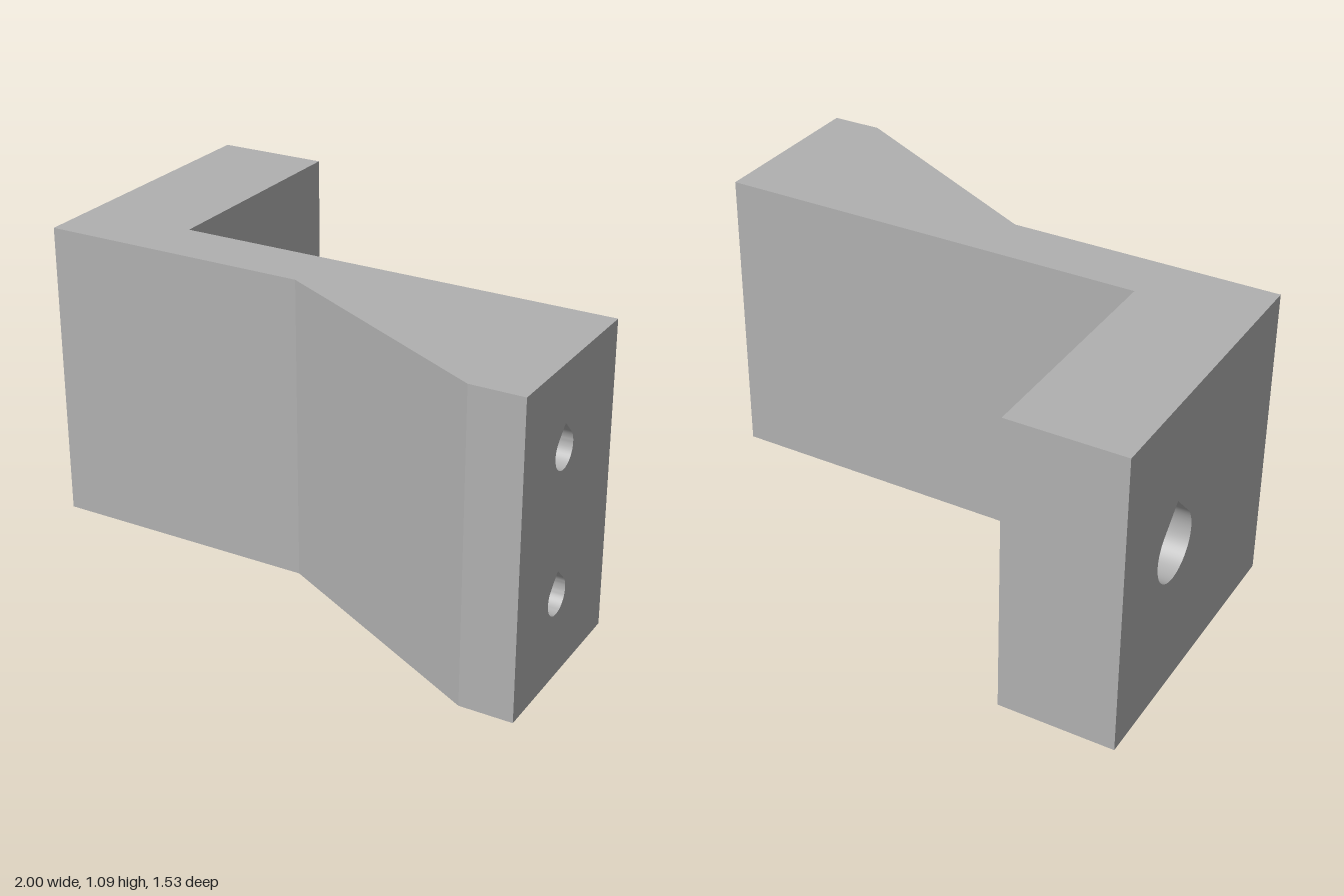
import * as THREE from 'three';
import { toCreasedNormals } from 'three/addons/utils/BufferGeometryUtils.js';

const HEIGHT = 1.09;
const END_X = 1, LEG_OUT = -1, LEG_IN = -0.585;
const POCKET_FLOOR = -0.745, BLIND_FLOOR = 0.58;

// Plan outline as (x, z), counter-clockwise seen from above
const PLAN = [
  [LEG_OUT, 0.325], [-0.025, 0.325], [0.815, 0.763], [END_X, 0.763],
  [END_X, 0.108], [LEG_IN, 0.108], [LEG_IN, -0.763], [LEG_OUT, -0.763],
];

// Hole outlines as (-z, y), counter-clockwise seen from +x
function teardrop(z, y, r) {
  const pts = [new THREE.Vector2(-z, y + r * Math.SQRT2)];
  const n = 36;
  for (let i = 0; i <= n; i++) {
    const a = Math.PI * (0.75 + 1.5 * i / n);
    pts.push(new THREE.Vector2(-z + r * Math.cos(a), y + r * Math.sin(a)));
  }
  return pts;
}

function hexagon(z, y, r) {
  return Array.from({ length: 6 }, (_, i) => {
    const a = Math.PI / 2 + i * Math.PI / 3;
    return new THREE.Vector2(-z + r * Math.cos(a), y + r * Math.sin(a));
  });
}

function holedShape(outline, holes = []) {
  const shape = new THREE.Shape(outline);
  shape.holes = holes.map((h) => new THREE.Path(h));
  return new THREE.ShapeGeometry(shape);
}

// Upright wall over the plan edge a-b, with optional holes
function wall(a, b, holes = []) {
  const length = Math.hypot(b[0] - a[0], b[1] - a[1]);
  const local = holes.map((h) => h.map((p) => new THREE.Vector2(Math.abs(-p.x - a[1]), p.y)));
  const rect = [[0, 0], [length, 0], [length, HEIGHT], [0, HEIGHT]].map((p) => new THREE.Vector2(...p));
  return holedShape(rect, local)
    .rotateY(-Math.atan2(b[1] - a[1], b[0] - a[0]))
    .translate(a[0], 0, a[1]);
}

// Inward-facing lining of a hole running along x
function lining(outline, deepX, openX) {
  const pos = [];
  outline.forEach((p, i) => {
    const q = outline[(i + 1) % outline.length];
    pos.push(deepX, p.y, -p.x, openX, q.y, -q.x, deepX, q.y, -q.x);
    pos.push(deepX, p.y, -p.x, openX, p.y, -p.x, openX, q.y, -q.x);
  });
  const geo = new THREE.BufferGeometry();
  geo.setAttribute('position', new THREE.Float32BufferAttribute(pos, 3));
  geo.computeVertexNormals();
  return toCreasedNormals(geo, 0.5);
}

// Floor of a hole, facing +x
const floor = (outline, x, holes) => holedShape(outline, holes).rotateY(Math.PI / 2).translate(x, 0, 0);

export function createModel() {
  const model = new THREE.Group();
  model.name = 'bracket';
  const grey = new THREE.MeshStandardMaterial({ color: 0xb0b0b0 });
  grey.name = 'grey';
  const add = (name, geo) => {
    const mesh = new THREE.Mesh(geo, grey);
    mesh.name = name;
    model.add(mesh);
  };

  const bore = teardrop(-0.4, 0.55, 0.122);
  const pocket = hexagon(-0.4, 0.55, 0.243);
  const screwHoles = [0.8, 0.295].map((y) => teardrop(0.475, y, 0.064));

  // Top and bottom faces
  const plan = (s) => PLAN.map(([x, z]) => new THREE.Vector2(x, s * z));
  add('topFace', holedShape(plan(-1)).rotateX(-Math.PI / 2).translate(0, HEIGHT, 0));
  add('bottomFace', holedShape(plan(1)).rotateX(Math.PI / 2));

  // Side walls, some pierced
  const names = ['frontWall', 'slopedWall', 'frontTip', 'armEnd', 'armBack', 'legInnerWall', 'legBack', 'legOuterWall'];
  const pierced = { armEnd: screwHoles, legInnerWall: [pocket], legOuterWall: [bore] };
  names.forEach((name, i) => {
    add(name, wall(PLAN[i], PLAN[(i + 1) % PLAN.length], pierced[name]));
  });

  // Through bore opening into the hexagonal nut pocket
  add('boreLining', lining(bore, LEG_OUT, POCKET_FLOOR));
  add('nutPocketLining', lining(pocket, POCKET_FLOOR, LEG_IN));
  add('nutPocketFloor', floor(pocket, POCKET_FLOOR, [bore]));

  // Blind screw holes in the arm end
  screwHoles.forEach((hole) => {
    add('screwHoleLining', lining(hole, BLIND_FLOOR, END_X));
    add('screwHoleFloor', floor(hole, BLIND_FLOOR));
  });
  return model;
}
